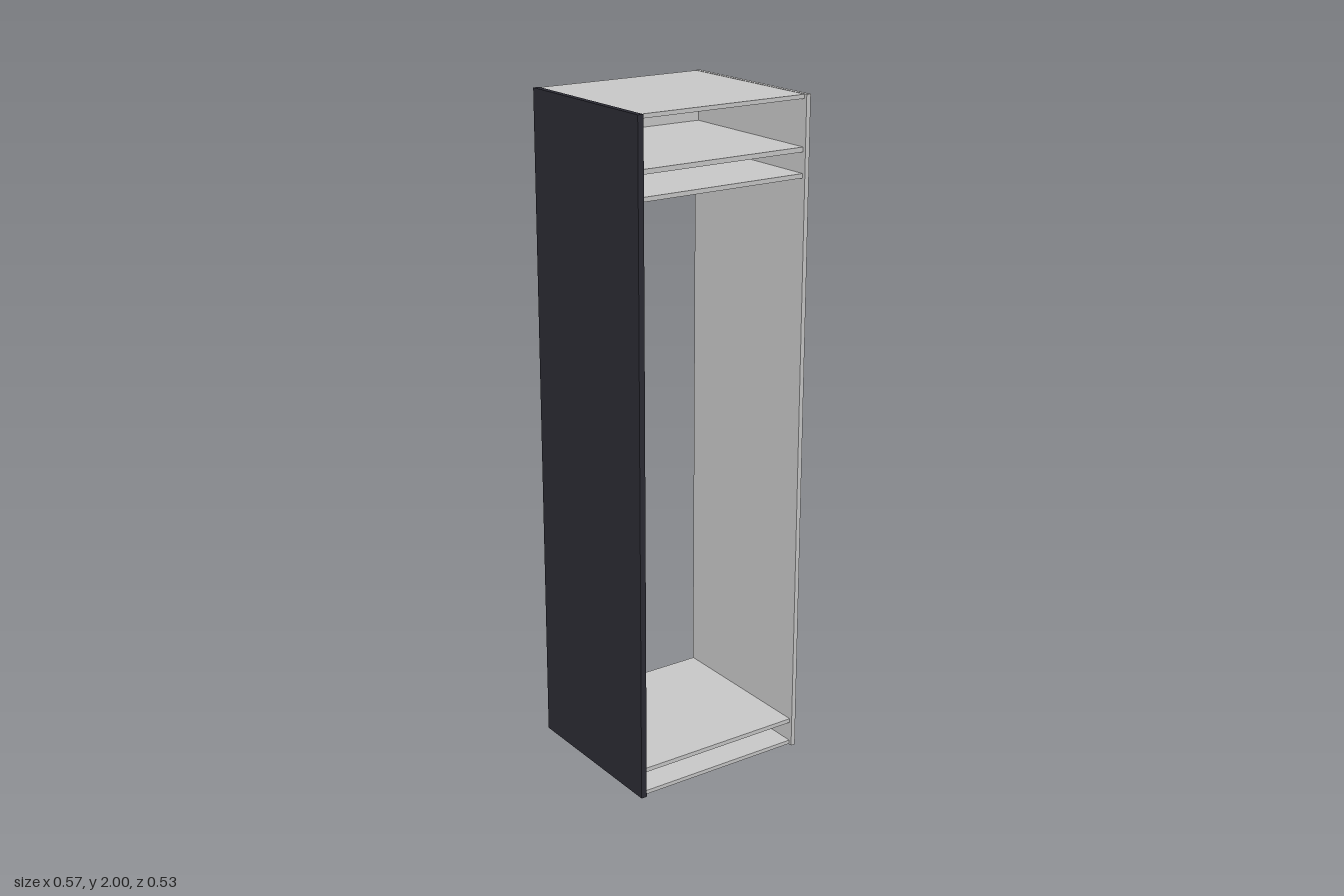
import * as THREE from 'three';

const mat = (name, color) => Object.assign(new THREE.MeshStandardMaterial({ color }), { name });

export function createModel() {
  const light = mat('lightBoard', 0xc8c8c8);
  const dark = mat('darkBoard', 0x2b2b34);
  const black = mat('blackFitting', 0x111114);
  const steel = mat('steelScrew', 0xb4b4b8);
  const model = new THREE.Group();
  model.name = 'openCabinet';

  // Box given by its min and max corners
  function box(name, material, x0, x1, y0, y1, z0, z1, parent = model) {
    const mesh = new THREE.Mesh(new THREE.BoxGeometry(x1 - x0, y1 - y0, z1 - z0), material);
    mesh.position.set((x0 + x1) / 2, (y0 + y1) / 2, (z0 + z1) / 2);
    mesh.name = name;
    parent.add(mesh);
    return mesh;
  }
  // Short round part standing out of the back face
  function disc(name, material, r, x, y, z0, z1, parent = model) {
    const mesh = new THREE.Mesh(new THREE.CylinderGeometry(r, r, z1 - z0, 16), material);
    mesh.rotation.x = Math.PI / 2;
    mesh.position.set(x, y, (z0 + z1) / 2);
    mesh.name = name;
    parent.add(mesh);
  }

  // Side walls
  box('rightWall', dark, -0.285, -0.267, 0, 2, -0.26, 0.262);
  box('leftWall', light, 0.269, 0.283, 0, 2, -0.26, 0.262);

  // Horizontal boards
  const inL = -0.267, inR = 0.269, back = -0.258, front = 0.252;
  const boards = {
    topBoard: [1.987, 1.999], upperShelf: [1.84, 1.854], lowerShelf: [1.767, 1.78],
    floorShelf: [0.075, 0.088], bottomBoard: [0.002, 0.014],
  };
  for (const [name, [y0, y1]] of Object.entries(boards)) {
    box(name, light, inL, inR, y0, y1, back, front);
  }

  // Back boards between the shelves
  box('upperBack', light, inL, inR, 1.854, 1.987, back, back + 0.013);
  box('lowerBack', light, inL, inR, 1.78, 1.84, back, back + 0.013);
  box('cornerBack', light, inL, -0.13, 0.014, 0.075, back, back + 0.013);

  // Cable fittings on the back: plate, round boss and low clip
  for (const y of [1.813, 0.05]) {
    const fitting = new THREE.Group();
    fitting.name = 'cableFitting';
    box('fittingPlate', black, -0.221, -0.185, y - 0.009, y + 0.009, back - 0.002, back, fitting);
    disc('fittingBoss', black, 0.009, -0.21, y, back - 0.0065, back, fitting);
    disc('fittingClip', black, 0.006, -0.193, y, back - 0.004, back, fitting);
    model.add(fitting);
  }

  // Latch plates with screws on the back edge of the dark wall
  for (const y of [0.955, 0.77]) {
    const latch = new THREE.Group();
    latch.name = 'latchPlate';
    box('plate', black, -0.282, -0.266, y - 0.02, y + 0.02, -0.262, -0.259, latch);
    for (const s of [-1, 1]) disc('plateScrew', steel, 0.003, -0.274, y + s * 0.013, -0.2628, -0.262, latch);
    model.add(latch);
  }

  // Rows of small screws in the back boards
  for (const y of [1.979, 1.833]) {
    for (let i = 0; i < 7; i++) disc('backScrew', black, 0.0018, -0.24 + i * 0.08, y, back - 0.0006, back);
  }
  return model;
}
